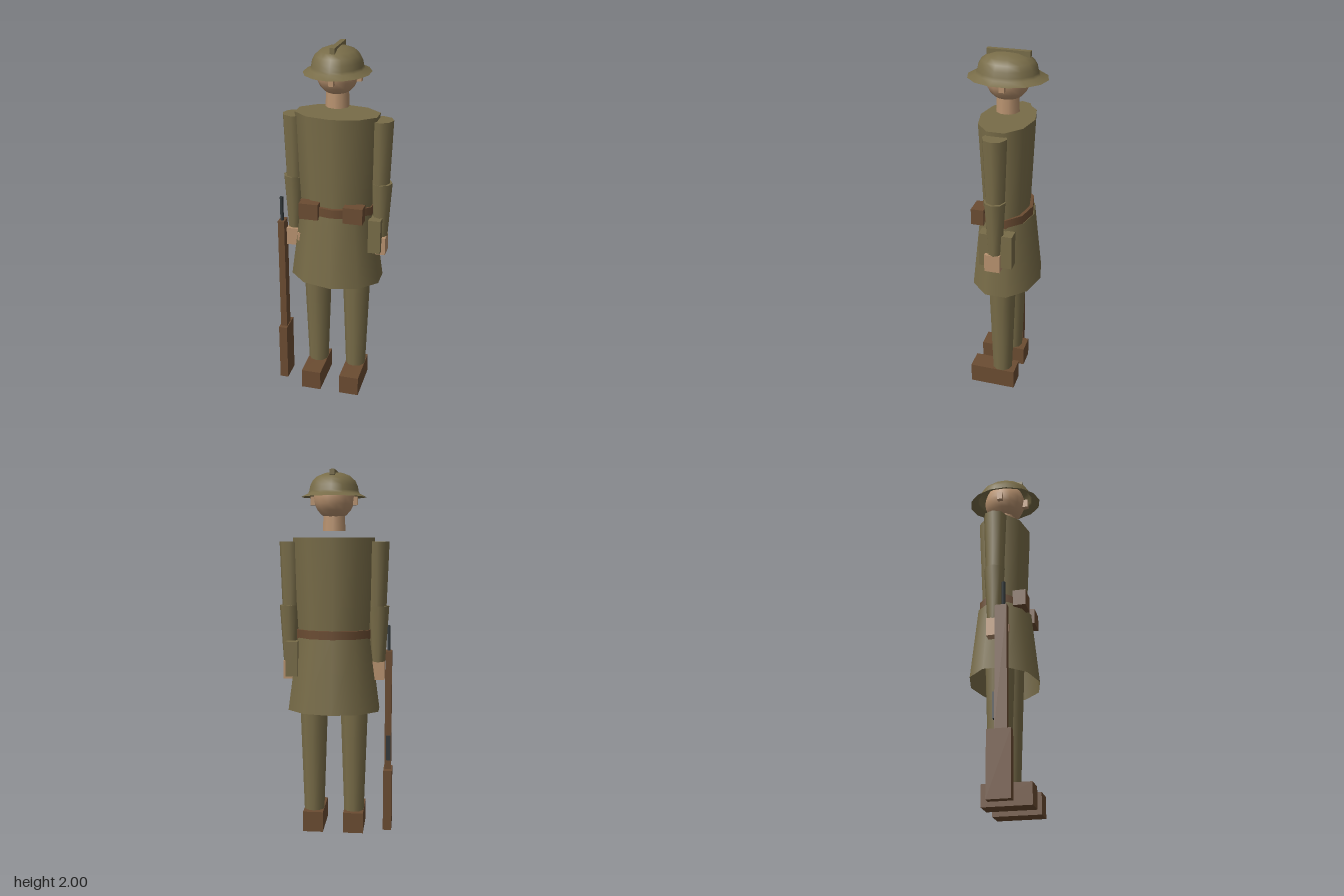
import * as THREE from 'three';

export function createModel() {
  const model = new THREE.Group();
  model.name = 'soldier';
  const CX = 0.012; // body centre line

  const material = (name, color, side = THREE.FrontSide) => {
    const m = new THREE.MeshStandardMaterial({ color, side });
    m.name = name;
    return m;
  };
  const olive = material('olive cloth', 0x786c48, THREE.DoubleSide);
  const leather = material('brown leather and wood', 0x6b4c32);
  const skin = material('skin', 0xb8926f);
  const steel = material('dark steel', 0x33393b);

  function add(name, geometry, mat, x = 0, y = 0, z = 0) {
    const mesh = new THREE.Mesh(geometry, mat);
    mesh.name = name;
    mesh.position.set(x, y, z);
    model.add(mesh);
    return mesh;
  }
  // Box given by its limits on each axis
  function box(name, mat, [x0, x1], [y0, y1], [z0, z1]) {
    return add(name, new THREE.BoxGeometry(x1 - x0, y1 - y0, z1 - z0), mat,
      (x0 + x1) / 2, (y0 + y1) / 2, (z0 + z1) / 2);
  }
  // Upright tapered tube between two heights
  function tube(name, mat, x, z, y0, y1, r0, r1, sides, open = false) {
    return add(name, new THREE.CylinderGeometry(r1, r0, y1 - y0, sides, 1, open), mat, x, (y0 + y1) / 2, z);
  }
  // Tapered oval tube, ten sided, with its own radii along x and z
  function oval(name, mat, y0, y1, [x0, z0], [x1, z1], open = false) {
    const mesh = tube(name, mat, CX, 0, y0, y1, z0, z1, 10, open);
    const p = mesh.geometry.attributes.position;
    for (let i = 0; i < p.count; i++) {
      p.setX(i, p.getX(i) * (p.getY(i) < 0 ? x0 / z0 : x1 / z1));
    }
    mesh.geometry.computeBoundingSphere();
    return mesh;
  }

  // Coat and belt
  oval('coatSkirt', olive, 0.695, 1.1, [0.263, 0.192], [0.207, 0.15], true);
  oval('coatBody', olive, 1.09, 1.645, [0.202, 0.119], [0.232, 0.146]);
  oval('belt', leather, 1.095, 1.145, [0.211, 0.141], [0.211, 0.141]);

  // Paired parts: s = +1 is the model's left
  for (const s of [-1, 1]) {
    const side = s > 0 ? 'left' : 'right';
    const span = (c, half) => [CX + s * c - half, CX + s * c + half];
    const leg = CX + s * 0.113;

    tube(side + 'Thigh', olive, leg, 0, 0.55, 0.98, 0.073, 0.088, 10);
    tube(side + 'Shin', olive, leg, 0, 0.1, 0.55, 0.057, 0.073, 10);
    box(side + 'Boot', leather, span(0.113, 0.056), [0, 0.115], [-0.083, 0.178]);

    tube(side + 'UpperArm', olive, CX + s * 0.236, 0, 1.27, 1.622, 0.052, 0.065, 8);
    tube(side + 'Forearm', olive, CX + s * 0.245, 0, 0.965, 1.275, 0.038, 0.058, 8);
    box(side + 'Hand', skin, span(0.245, 0.036), [0.868, 0.968], [-0.035, 0.05]);
    box(side + 'Thumb', skin, span(0.2, 0.011), [0.91, 0.955], [0.03, 0.073]);

    box(side + 'BeltPouch', leather, span(0.122, 0.053), [1.082, 1.172], [0.085, 0.155]);
    box(side + 'Ear', skin, span(0.115, 0.013), [1.817, 1.863], [-0.018, 0.012]);
  }
  box('hipBag', olive, [0.204, 0.272], [0.89, 1.082], [-0.096, 0.086]);

  // Neck, head and nose
  tube('neck', skin, CX, 0, 1.68, 1.79, 0.063, 0.058, 10);
  add('head', new THREE.SphereGeometry(0.12, 14, 10), skin, CX, 1.86, 0).scale.x = 0.93;
  box('nose', skin, [CX - 0.014, CX + 0.014], [1.815, 1.865], [0.105, 0.14]);

  // Brimmed helmet with a crest along the top
  const profile = [[0.211, 1.86], [0.168, 1.878], [0.16, 1.892], [0.154, 1.92],
    [0.137, 1.948], [0.108, 1.97], [0.06, 1.986], [0, 1.991]].map(([r, y]) => new THREE.Vector2(r, y));
  add('helmet', new THREE.LatheGeometry(profile, 14), olive, CX).scale.x = 0.835;
  box('helmetCrest', olive, [-0.002, 0.025], [1.97, 2.0], [-0.118, 0.108]);

  // Rifle standing at the right side
  box('rifleButt', leather, [-0.314, -0.266], [0, 0.345], [-0.017, 0.108]);
  box('rifleStock', leather, [-0.308, -0.271], [0.345, 1.02], [0.022, 0.086]);
  box('rifleMagazine', steel, [-0.305, -0.279], [0.4, 0.54], [0.011, 0.03]);
  tube('rifleBarrel', steel, -0.289, 0.064, 1.0, 1.16, 0.01, 0.01, 6);

  return model;
}
